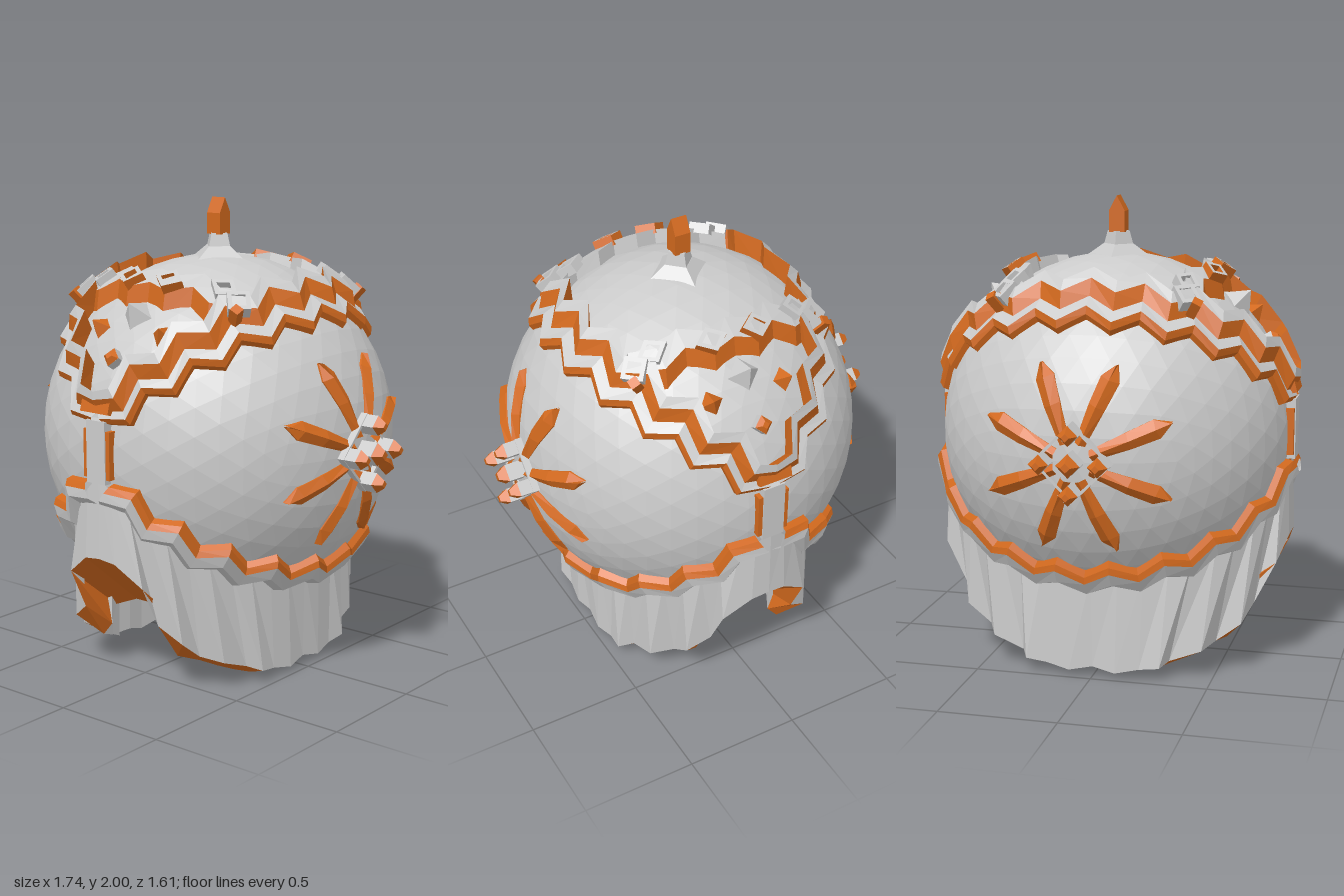
import * as THREE from 'three';

const grey = new THREE.MeshStandardMaterial({ color: 0xcccccc, flatShading: true, side: THREE.DoubleSide });
const orange = new THREE.MeshStandardMaterial({ color: 0xd2691e, flatShading: true, side: THREE.DoubleSide });
const CY = 1.0, R = 0.76, N = 22, TILT = 34 * Math.PI / 180, DEG = Math.PI / 180;

// Front half of the stepped skirt's lower edges, as x, y, z
const OUTER = [[0, 0.58, 0.775], [0.08, 0.57, 0.77], [0.2, 0.48, 0.735], [0.205, 0.3, 0.645], [0.3, 0.23, 0.605],
  [0.305, 0.15, 0.5], [0.4, 0.13, 0.455], [0.41, 0.08, 0.32], [0.475, 0.065, 0.29], [0.465, 0.05, 0.2], [0.48, 0.03, 0.1], [0.47, 0.05, 0]];
const INNER = [[0, 0.31, 0.46], [0.08, 0.31, 0.46], [0.18, 0.27, 0.48], [0.16, 0.2, 0.53], [0.21, 0.14, 0.53],
  [0.25, 0.1, 0.43], [0.31, 0.08, 0.39], [0.33, 0.04, 0.3], [0.38, 0.03, 0.26], [0.375, 0.03, 0.18], [0.385, 0.005, 0.09], [0.38, 0.02, 0]];

function mesh(name, geo, mat, parent) {
  const m = new THREE.Mesh(geo, mat);
  m.name = name;
  parent.add(m);
  return m;
}

// Surface stretched between two rows of points
function ribbon(name, a, b, mat, parent) {
  const p = [];
  for (let i = 0; i < a.length - 1; i++) {
    for (const v of [a[i], b[i], b[i + 1], a[i], b[i + 1], a[i + 1]]) p.push(v.x, v.y, v.z);
  }
  const g = new THREE.BufferGeometry();
  g.setAttribute('position', new THREE.Float32BufferAttribute(p, 3));
  g.computeVertexNormals();
  mesh(name, g, mat, parent);
}

function row(fn) {
  return Array.from({ length: N + 1 }, (_, i) => fn(Math.PI * i / N, i % 2 ? 1 : -1));
}

// Zigzag line on the orb along a tilted half circle; up = 1 for crown, -1 for base
function orbRow(d0, d1, r, up) {
  return row((t, z) => {
    const s = Math.sin(t), d = (d0 + (d1 - d0) * s + z * 2.6) * DEG;
    const x = s * Math.cos(TILT) * Math.cos(d) - Math.sin(TILT) * Math.sin(d);
    const y = s * Math.sin(TILT) * Math.cos(d) + Math.cos(TILT) * Math.sin(d);
    return new THREE.Vector3(Math.max(0, x) * r, CY + up * y * r, Math.cos(t) * Math.cos(d) * r);
  }).slice(1, -1);
}

// Full row from its front half
function mirrorRow(half) {
  const front = half.map(([x, y, z]) => new THREE.Vector3(x, y, z));
  const back = half.slice(0, -1).reverse().map(([x, y, z]) => new THREE.Vector3(x, y, -z));
  return [...front, ...back];
}

function layers(name, rows, mats, parent) {
  mats.forEach((m, i) => ribbon(name, rows[i], rows[i + 1], m, parent));
}

// Group sitting on the orb with its y axis pointing outwards
function onOrb(name, x, y, z, r, parent) {
  const g = new THREE.Group(), d = new THREE.Vector3(x, y, z).normalize();
  g.name = name;
  g.position.copy(d).multiplyScalar(r).add(new THREE.Vector3(0, CY, 0));
  g.quaternion.setFromUnitVectors(new THREE.Vector3(0, 1, 0), d);
  parent.add(g);
  return g;
}

// Four-sided post with a pointed cap
function stud(name, g, w, h, x = 0, z = 0) {
  mesh(name + 'Post', new THREE.CylinderGeometry(w, w, h, 4), grey, g).position.set(x, h / 2, z);
  mesh(name + 'Cap', new THREE.CylinderGeometry(w * 0.4, w, h * 0.45, 4), orange, g).position.set(x, h * 1.22, z);
}

// Open diamond frame with a flat rim
function frame(name, g, r, h, inner, mat) {
  mesh(name, new THREE.CylinderGeometry(r, r, h, 4, 1, true), mat, g).position.y = h / 2;
  const rim = mesh(name + 'Rim', new THREE.RingGeometry(r * inner, r, 4), grey, g);
  rim.rotation.x = -Math.PI / 2;
  rim.position.y = h;
}

// Stepped crown band, trim and skirt of one side
function buildSide() {
  const side = new THREE.Group();
  side.name = 'side';

  layers('crownBand', [
    orbRow(4, 8, 0.74, 1), orbRow(4.5, 9, 0.785, 1), orbRow(6, 11, 0.805, 1), orbRow(8, 15.5, 0.795, 1),
    orbRow(11.5, 20, 0.835, 1), orbRow(14, 24, 0.845, 1), orbRow(11, 19.5, 0.74, 1),
  ], [orange, orange, grey, orange, grey, orange], side);

  layers('baseTrim', [
    orbRow(0, 4, 0.74, -1), orbRow(0.5, 5, 0.79, -1), orbRow(2.5, 6.5, 0.81, -1),
    orbRow(5, 11, 0.82, -1), orbRow(8, 15, 0.79, -1), orbRow(8, 15, 0.7, -1),
  ], [orange, orange, grey, grey, grey], side);

  // Skirt of stepped columns: outer wall, slanted underside, inner wall
  const top = row((t) => {
    const s = Math.sin(t);
    return new THREE.Vector3(0.475 * s, 0.93 - 0.47 * s, 0.772 * Math.cos(t));
  });
  layers('skirt', [top, mirrorRow(OUTER), mirrorRow(INNER), mirrorRow(INNER.map(([x, , z]) => [x, 0.58, z]))],
    [grey, orange, grey], side);

  // Star of eight ridged rays hugging the orb
  const star = new THREE.Group();
  star.name = 'star';
  side.add(star);
  for (let k = 0; k < 8; k++) {
    const a = (k + 0.5) * Math.PI / 4;
    const at = (d, off, r) => {
      const y = Math.sin(a) * d + Math.cos(a) * off, z = Math.cos(a) * d - Math.sin(a) * off;
      return new THREE.Vector3(Math.sqrt(r * r - y * y - z * z), CY + y, z);
    };
    const ds = [0.08, 0.24, 0.35, 0.41], ws = [0.022, 0.035, 0.04, 0.002];
    const line = (sign, r) => ds.map((d, i) => at(d, ws[i] * sign, r));
    const ridge = ds.map((d) => at(d, 0, 0.787));
    layers('starRay', [line(1, 0.74), line(1, 0.765), ridge, line(-1, 0.765), line(-1, 0.74)],
      [orange, orange, orange, orange], star);
  }
  const hub = onOrb('starHub', 1, 0, 0, 0.75, star);
  frame('hubFrame', hub, 0.165, 0.03, 0.9, grey);
  stud('hubStud', hub, 0.05, 0.083);
  for (const [x, z] of [[0.12, 0], [-0.12, 0], [0, 0.12], [0, -0.12]]) stud('hubStud', hub, 0.042, 0.083, x, z);

  // Ornament clusters where the crown band meets the cross bands
  for (const s of [1, -1]) {
    const c = onOrb('cornerOrnament', 0.42, 0.64, 0.39 * s, 0.8, side);
    frame('cornerFrame', c, 0.065, 0.06, 0.6, grey);
    mesh('cornerPeg', new THREE.BoxGeometry(0.04, 0.08, 0.04), orange, c).position.set(0.03, 0.03, 0.05 * s);
  }
  return side;
}

// Brow and small ornaments of the front
function buildFace() {
  const face = new THREE.Group();
  face.name = 'face';

  // Zigzag cross band
  const brow = (z, r) => Array.from({ length: 9 }, (_, i) => {
    const x = (i - 4) * 0.1;
    const zz = z - Math.abs(x) * 0.18 + (i % 2 ? 0.02 : -0.02);
    return new THREE.Vector3(x, CY + Math.sqrt(r * r - x * x - zz * zz), zz);
  });
  layers('browBand', [brow(0.485, 0.74), brow(0.465, 0.815), brow(0.39, 0.82), brow(0.37, 0.74)],
    [orange, grey, grey], face);
  for (const x of [-0.33, -0.1, 0.1, 0.33]) {
    const inner = Math.abs(x) < 0.2;
    const g = onOrb('browGem', x, 0.68, inner ? 0.43 : 0.37, 0.8, face);
    frame('gemFrame', g, 0.055, 0.045, 0.6, inner ? orange : grey);
    g.scale.x = 1.25;
  }

  // Pyramids between brow and crown band
  const cone = (name, x, y, z, w, h, mat) => {
    const g = onOrb(name, x, y, z, 0.75, face);
    mesh(name, new THREE.ConeGeometry(w, h, 4), mat, g).position.y = h / 2;
  };
  cone('upperPyramid', 0, 0.55, 0.52, 0.075, 0.09, grey);
  for (const s of [1, -1]) cone('sidePyramid', 0.17 * s, 0.5, 0.57, 0.055, 0.07, orange);
  stud('lowerStud', onOrb('lowerStud', 0, 0.39, 0.66, 0.75, face), 0.04, 0.045);

  // Upright clasp with flanking edges, and the buckle above it
  mesh('clasp', new THREE.BoxGeometry(0.1, 0.26, 0.06), grey, face).position.set(0, 1.03, 0.755);
  for (const s of [1, -1]) {
    mesh('claspEdge', new THREE.BoxGeometry(0.02, 0.2, 0.05), orange, face).position.set(0.06 * s, 1.02, 0.755);
  }
  const b = onOrb('buckle', 0, 0.21, 0.76, 0.795, face);
  mesh('bucklePlate', new THREE.BoxGeometry(0.15, 0.04, 0.05), orange, b);
  return face;
}

export function createModel() {
  const model = new THREE.Group();
  model.name = 'ornateOrb';

  mesh('orb', new THREE.IcosahedronGeometry(R, 7), grey, model).position.y = CY;

  // Both sides, mirrored
  const left = buildSide();
  const right = buildSide();
  right.scale.x = -1;
  left.name = 'leftSide';
  right.name = 'rightSide';
  model.add(left, right);

  // Front and back faces
  const front = buildFace();
  const back = buildFace();
  back.rotation.y = Math.PI;
  front.name = 'frontFace';
  back.name = 'backFace';
  model.add(front, back);

  // Spire with a wedge tip
  mesh('spireBase', new THREE.CylinderGeometry(0.065, 0.15, 0.06, 4), grey, model).position.y = 1.765;
  mesh('spireNeck', new THREE.CylinderGeometry(0.048, 0.065, 0.06, 4), grey, model).position.y = 1.82;
  const outline = new THREE.Shape([[-0.035, 0], [0.035, 0], [0.035, 0.09], [0, 0.155], [-0.035, 0.09]]
    .map(([x, y]) => new THREE.Vector2(x, y)));
  const tip = new THREE.ExtrudeGeometry(outline, { depth: 0.07, bevelEnabled: false });
  tip.translate(0, 0, -0.035).rotateY(Math.PI / 2);
  mesh('spireTip', tip, orange, model).position.y = 1.845;

  return model;
}
